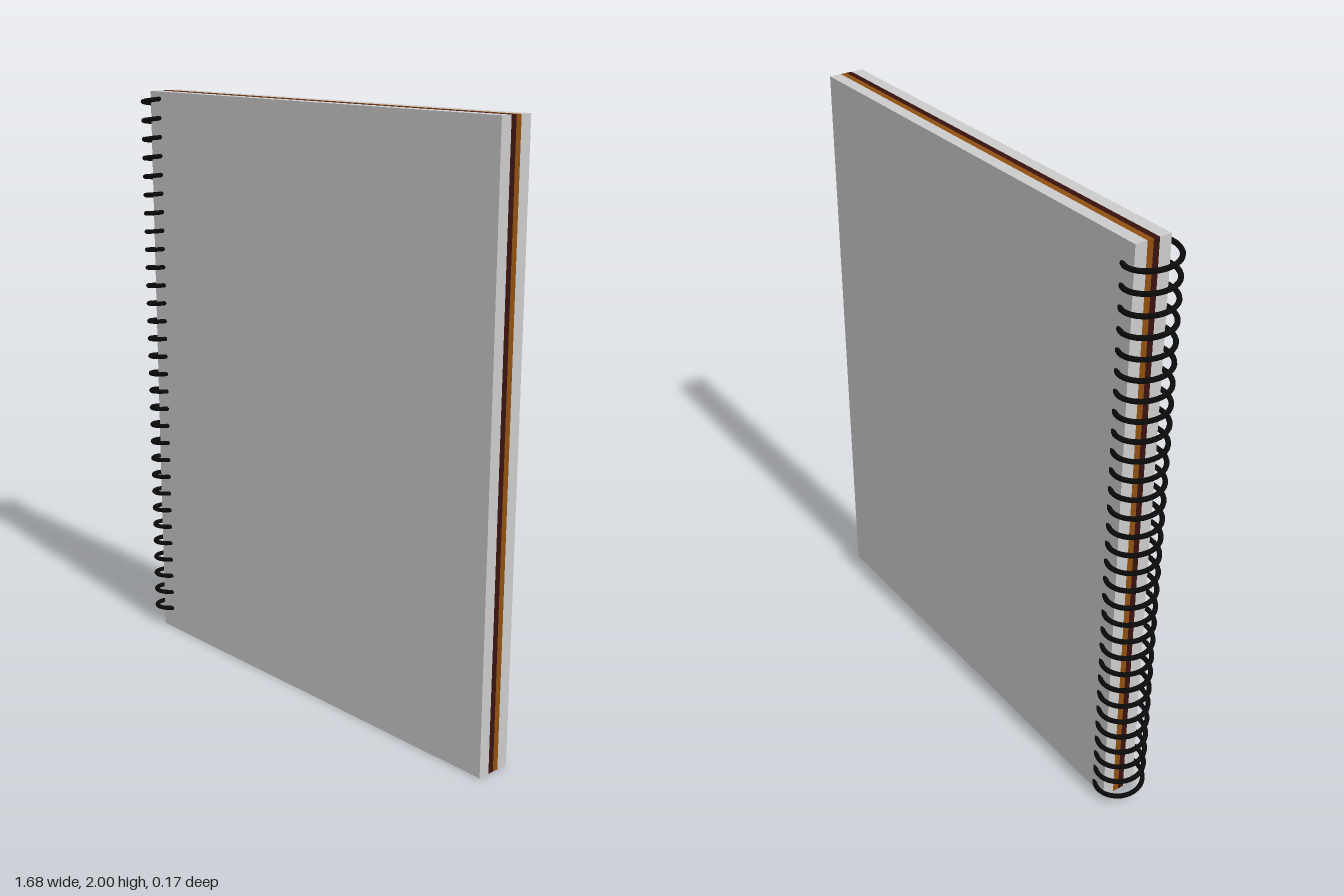
import * as THREE from 'three';

const LEFT_EDGE = -0.755, RIGHT_EDGE = 0.843, HEIGHT = 2;

// Spiral wire: one full turn per binding hole
class Helix extends THREE.Curve {
  constructor(radius, turns, y0, y1) {
    super();
    Object.assign(this, { radius, turns, y0, y1, arcLengthDivisions: turns * 48 });
  }
  getPoint(t, target = new THREE.Vector3()) {
    const a = t * this.turns * Math.PI * 2;
    return target.set(
      LEFT_EDGE + this.radius * Math.cos(a),
      THREE.MathUtils.lerp(this.y0, this.y1, t),
      -this.radius * Math.sin(a)
    );
  }
}

export function createModel() {
  const group = new THREE.Group();
  const add = (name, geometry, color) => {
    const mesh = new THREE.Mesh(geometry, new THREE.MeshStandardMaterial({ color }));
    mesh.name = name;
    group.add(mesh);
    return mesh;
  };

  // Stacked slabs, back to front: [name, z start, z end, color]
  const layers = [
    ['backPages', -0.062, -0.021, 0xcccccc],
    ['brownDivider', -0.021, 0, 0x8f5010],
    ['darkDivider', 0, 0.021, 0x38120e],
    ['frontPages', 0.021, 0.062, 0xcccccc],
  ];
  for (const [name, z0, z1, color] of layers) {
    const slab = add(name, new THREE.BoxGeometry(RIGHT_EDGE - LEFT_EDGE, HEIGHT, z1 - z0), color);
    slab.position.set((LEFT_EDGE + RIGHT_EDGE) / 2, HEIGHT / 2, (z0 + z1) / 2);
  }

  // Binding coil, its ends tucked inside the pages
  const coil = new Helix(0.078, 30, 0.02, 1.984);
  add('spiralBinding', new THREE.TubeGeometry(coil, 30 * 32, 0.008, 10), 0x0a0a0a);

  return group;
}
